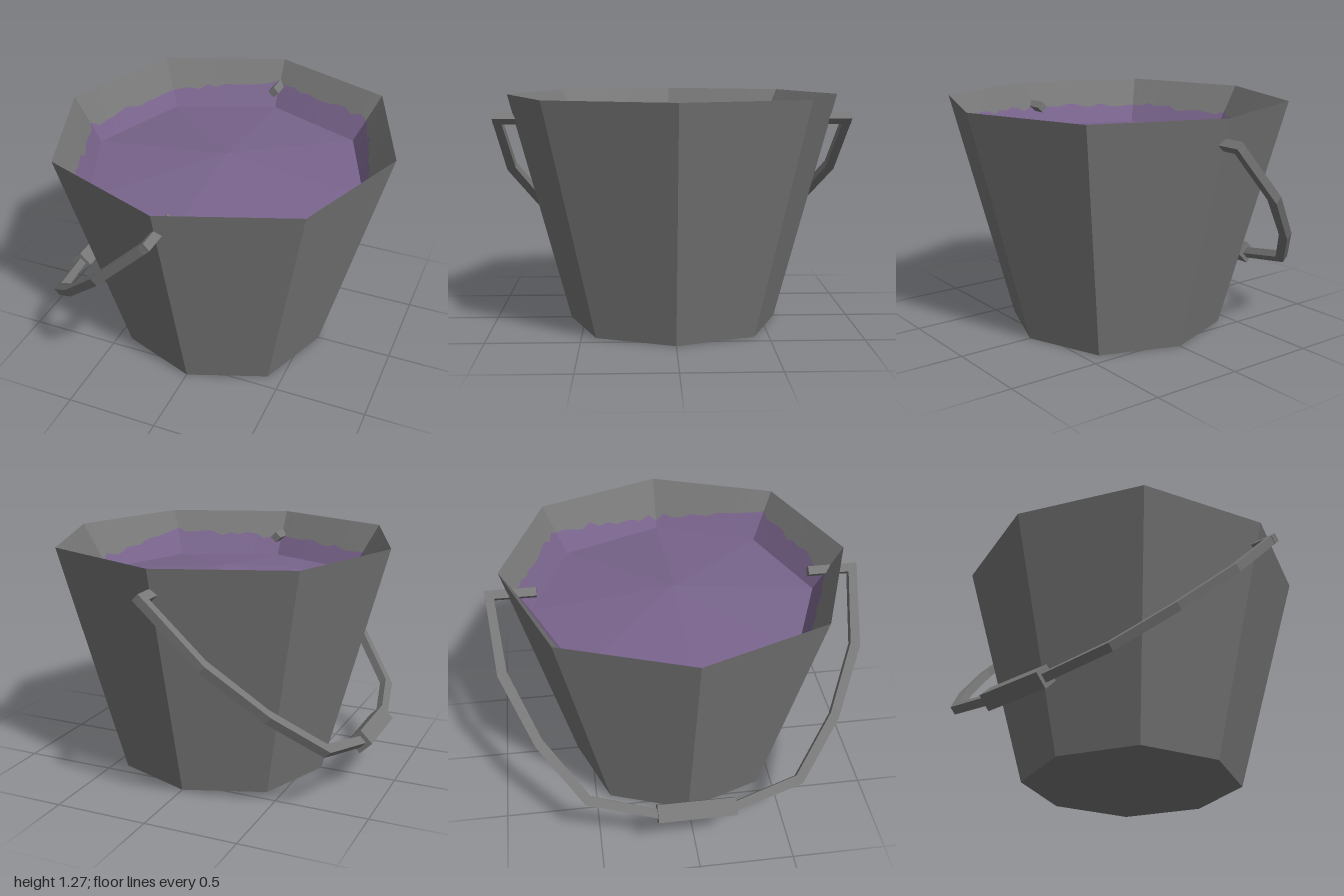
import * as THREE from 'three';

const TIN = new THREE.MeshStandardMaterial({ name: 'grey metal', color: 0x787878, flatShading: true });
const PURPLE = new THREE.MeshStandardMaterial({ name: 'purple liquid', color: 0x79648c, flatShading: true });

// Octagon with a corner on each axis; diag is the x and z of the diagonal corners
function ring(axis, diag, y) {
  return Array.from({ length: 8 }, (_, i) => {
    const a = (i * Math.PI) / 4;
    const r = i % 2 ? diag * Math.SQRT2 : axis;
    return new THREE.Vector3(r * Math.cos(a), y, r * Math.sin(a));
  });
}

// Split every side of a ring into n equal pieces
function subdivide(points, n) {
  return points.flatMap((p, i) => {
    const q = points[(i + 1) % points.length];
    return Array.from({ length: n }, (_, k) => p.clone().lerp(q, k / n));
  });
}

function surface(points) {
  const g = new THREE.BufferGeometry().setFromPoints(points);
  g.computeVertexNormals();
  return g;
}

// Closed wall between two rings, facing outwards or inwards
function wall(low, high, inward) {
  const pts = [];
  low.forEach((b0, i) => {
    const j = (i + 1) % low.length;
    const t0 = high[i], t1 = high[j], b1 = low[j];
    if (inward) pts.push(b0, b1, t1, b0, t1, t0);
    else pts.push(b0, t0, t1, b0, t1, b1);
  });
  return surface(pts);
}

// Triangle fan from a centre point to a ring
function fan(points, centreY, up) {
  const c = new THREE.Vector3(0, centreY, 0);
  return surface(points.flatMap((p, i) => {
    const q = points[(i + 1) % points.length];
    return up ? [c, q, p] : [c, p, q];
  }));
}

function add(parent, name, geometry, material) {
  const mesh = new THREE.Mesh(geometry, material);
  mesh.name = name;
  parent.add(mesh);
  return mesh;
}

function createBucket() {
  const bucket = new THREE.Group();
  bucket.name = 'bucket';
  const base = ring(0.58, 0.422, 0);
  const rim = ring(0.917, 0.667, 1.27);
  const pool = ring(0.768, 0.55, 1.02);
  add(bucket, 'outerWall', wall(base, rim, false), TIN);
  add(bucket, 'bottom', fan(base, 0, false), TIN);
  add(bucket, 'liquidSurface', fan(pool, 1.11, true), PURPLE);

  // Ragged line left by the liquid, as a share of the inner wall at each corner
  let seed = 7;
  const random = () => (seed = (seed * 16807) % 2147483647) / 2147483647;
  const level = [0.22, 0.55, 0.4, 0.4, 0.36, 0.36, 0.5, 0.5];
  const n = 12;
  const low = subdivide(pool, n);
  const high = subdivide(rim, n);
  const line = low.map((p, i) => {
    const side = Math.floor(i / n);
    const f = THREE.MathUtils.lerp(level[side], level[(side + 1) % 8], (i % n) / n);
    return p.clone().lerp(high[i], f + (random() - 0.5) * 0.13);
  });
  add(bucket, 'liquidStain', wall(low, line, true), PURPLE);
  add(bucket, 'innerWall', wall(line, high, true), TIN);
  return bucket;
}

// Hanging handle: local x runs along the pivots, local y points down the swing
function createHandle() {
  const handle = new THREE.Group();
  handle.name = 'handle';
  const t = 0.046;
  const outer = [[1, -t / 2], [0.965, 0.43], [0.8, 0.81], [0.57, 1.13], [0.2, 1.235]];
  const inner = [[0.955, -t / 2], [0.915, 0.41], [0.762, 0.775], [0.54, 1.085], [0.2, 1.188]];
  const mirror = (pts) => pts.map(([x, y]) => [-x, y]).reverse();
  const outline = [...outer, ...mirror(outer), ...mirror(inner).reverse(), ...inner.slice().reverse()];
  const shape = new THREE.Shape(outline.map(([x, y]) => new THREE.Vector2(x, y)));
  const bail = new THREE.ExtrudeGeometry(shape, { depth: t, bevelEnabled: false });
  bail.translate(0, 0, -t / 2);
  add(handle, 'bail', bail, TIN);

  const grip = add(handle, 'grip', new THREE.BoxGeometry(0.41, 0.092, 0.092), TIN);
  grip.position.y = 1.211;
  for (const s of [-1, 1]) {
    const pivot = add(handle, s > 0 ? 'frontPivot' : 'backPivot', new THREE.BoxGeometry(0.268, t, t), TIN);
    pivot.position.x = s * 0.865;
  }

  const h = Math.SQRT1_2;
  handle.quaternion.setFromRotationMatrix(new THREE.Matrix4().makeBasis(
    new THREE.Vector3(0, 0, 1), new THREE.Vector3(-h, -h, 0), new THREE.Vector3(h, -h, 0)));
  handle.position.y = 1.135;
  return handle;
}

export function createModel() {
  const model = new THREE.Group();
  model.name = 'bucketOfLiquid';
  model.add(createBucket(), createHandle());
  return model;
}
